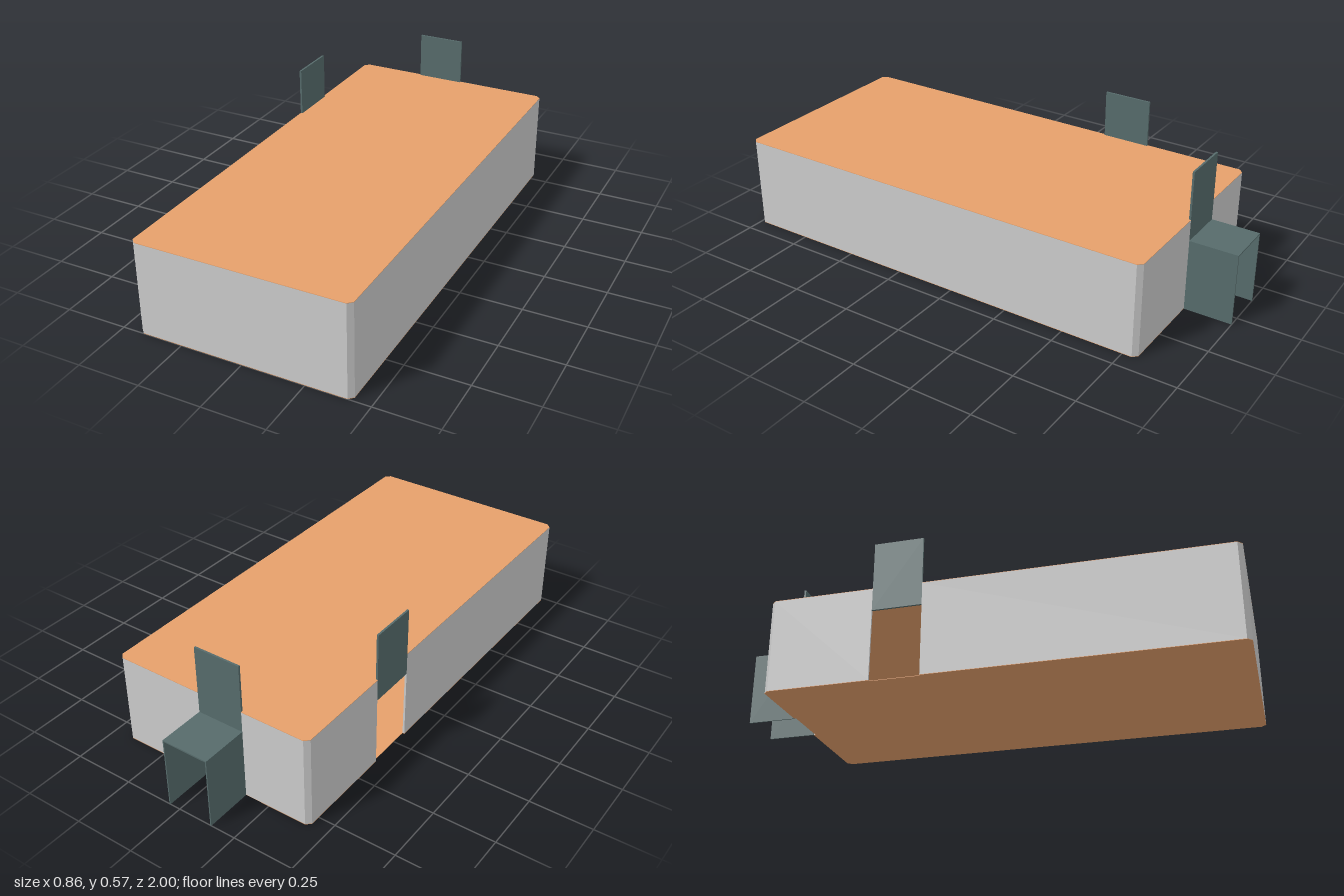
import * as THREE from 'three';

const W = 0.43, FRONT = 1, BACK = -0.807, CH = 0.018; // hut footprint and corner chamfer
const H = 0.38, T = 0.008, PLATE = 0.002;             // wall height, wall and plate thickness
const DOOR_H = 0.288;
const BX0 = -0.147, BX1 = 0.049;                      // back doorway, x range
const SZ0 = -0.385, SZ1 = -0.187;                     // side doorway, z range

const grey = new THREE.MeshStandardMaterial({ color: 0xcccccc, flatShading: true });
const wood = new THREE.MeshStandardMaterial({ color: 0xe6a06b, flatShading: true });
const slate = new THREE.MeshStandardMaterial({ color: 0x566b6b, flatShading: true });

export function createModel() {
  const model = new THREE.Group();

  const add = (name, geometry, material) => {
    const mesh = new THREE.Mesh(geometry, material);
    mesh.name = name;
    model.add(mesh);
  };

  // Upright prism over a footprint given as [x, z] points
  const prism = (name, points, y0, y1, material) => {
    const shape = new THREE.Shape(points.map(([x, z]) => new THREE.Vector2(x, -z)));
    const geometry = new THREE.ExtrudeGeometry(shape, { depth: y1 - y0, bevelEnabled: false });
    geometry.rotateX(-Math.PI / 2).translate(0, y0, 0);
    add(name, geometry, material);
  };

  // Box from its low and high corners
  const slab = (name, [x0, y0, z0], [x1, y1, z1], material) => {
    const geometry = new THREE.BoxGeometry(x1 - x0, y1 - y0, z1 - z0);
    geometry.translate((x0 + x1) / 2, (y0 + y1) / 2, (z0 + z1) / 2);
    add(name, geometry, material);
  };

  // Chamfered outline, inset by t, as the two runs between the doorways
  const longRun = (t) => {
    const w = W - t, f = FRONT - t, b = BACK + t, c = CH - t * 0.586;
    return [[BX1, b], [w - c, b], [w, b + c], [w, f - c], [w - c, f],
      [-w + c, f], [-w, f - c], [-w, SZ1]];
  };
  const shortRun = (t) => {
    const w = W - t, b = BACK + t, c = CH - t * 0.586;
    return [[-w, SZ0], [-w, b + c], [-w + c, b], [BX0, b]];
  };

  // Thin walls, open for the full height at both doorways
  prism('longWall', [...longRun(0), ...longRun(T).reverse()], PLATE, H - PLATE, grey);
  prism('cornerWall', [...shortRun(0), ...shortRun(T).reverse()], PLATE, H - PLATE, grey);

  // Floor and roof, notched at the doorways
  const plate = [...longRun(0), [-W + T, SZ1], [-W + T, SZ0], ...shortRun(0),
    [BX0, BACK + T], [BX1, BACK + T]];
  prism('floor', plate, 0, PLATE, wood);
  prism('roof', plate, H - PLATE, H, wood);

  // Sliding doors, raised above their openings
  slab('sideDoor', [-W, DOOR_H, SZ0], [-W + T, 0.573, SZ1], slate);
  slab('backDoor', [BX0, DOOR_H, BACK], [BX1, 0.573, BACK + T], slate);

  // Entrance tunnel behind the back doorway
  const p = 0.005;
  slab('tunnelTop', [BX0, DOOR_H, -1], [BX1, DOOR_H + p, BACK], slate);
  for (const [name, x] of [['tunnelRightSide', BX0], ['tunnelLeftSide', BX1 - p]]) {
    slab(name, [x, 0, -1], [x + p, DOOR_H, BACK], slate);
  }

  return model;
}
